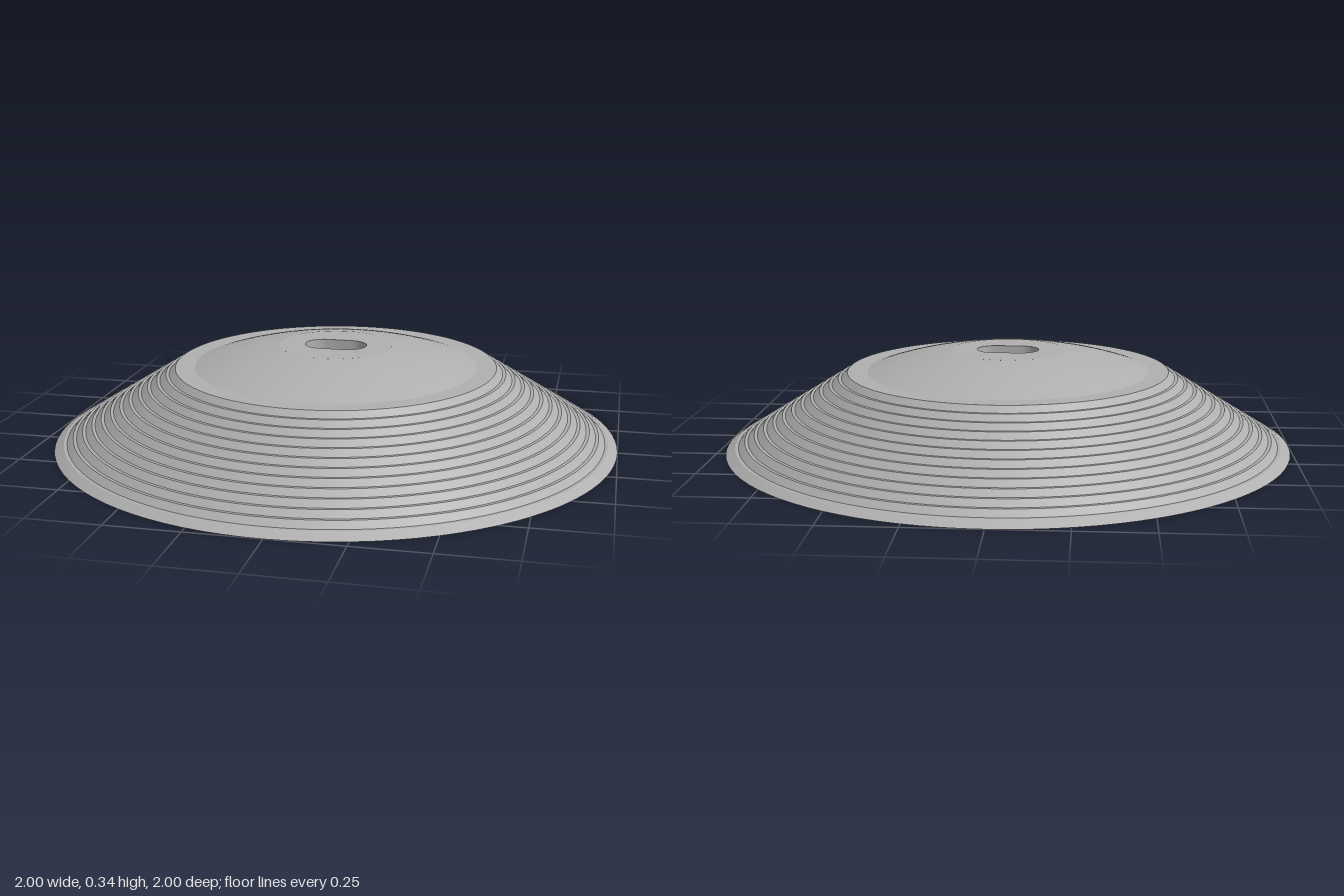
import * as THREE from 'three';
import { toCreasedNormals } from 'three/addons/utils/BufferGeometryUtils.js';

const SEG = 96, TOP = 0.335, CEILING = 0.3, CHANNEL_H = 0.125;
const HOLE_R = 0.175, HALF_W = 0.053, CHANNEL_END = 0.772, AXIS = THREE.MathUtils.degToRad(50);
const V = (x, y) => new THREE.Vector2(x, y);

// points along an arc in plan (x, z)
function arc(cx, cy, r, a0, a1, n) {
  return Array.from({ length: n + 1 }, (_, i) => {
    const a = a0 + (a1 - a0) * i / n;
    return V(cx + r * Math.cos(a), cy + r * Math.sin(a));
  });
}

// vertical wall following a plan line
function wallGeometry(line, y0, y1) {
  const pos = [], index = [];
  line.forEach((p, i) => {
    pos.push(p.x, y0, p.y, p.x, y1, p.y);
    if (i) { const k = 2 * i; index.push(k - 2, k - 1, k, k, k - 1, k + 1); }
  });
  const g = new THREE.BufferGeometry();
  g.setAttribute('position', new THREE.Float32BufferAttribute(pos, 3));
  g.setIndex(index);
  g.computeVertexNormals();
  return toCreasedNormals(g, 0.6);
}

// horizontal face looking down
function faceGeometry(shape, y) {
  return new THREE.ShapeGeometry(shape, SEG).rotateX(Math.PI / 2).translate(0, y, 0);
}

export function createModel() {
  const model = new THREE.Group();
  const grey = new THREE.MeshStandardMaterial({ color: 0xb0b0b0, side: THREE.DoubleSide });
  grey.name = 'grey';
  const add = (name, geometry) => {
    const mesh = new THREE.Mesh(geometry, grey);
    mesh.name = name;
    model.add(mesh);
  };

  // stepped skirt, then a spherical crown
  const profile = [V(1, 0)], steps = 13;
  for (let i = 1; i <= steps; i++) {
    const t = i / steps, r = 1 - 0.43 * t, y = 0.265 * t;
    profile.push(V(r, y), V(i < steps ? r - 0.011 : 0.5, y));
  }
  for (let i = 1; i <= 12; i++) {
    const r = 0.5 - 0.3 * i / 12;
    profile.push(V(r, Math.sqrt(2.396 - r * r) - 1.2));
  }
  add('steppedDome', toCreasedNormals(new THREE.LatheGeometry(profile, SEG), 0.3));

  // flat top with an oblong slot through it
  const top = new THREE.Shape(arc(0, 0, 0.2, 0, Math.PI * 2, SEG).slice(0, -1));
  top.holes.push(new THREE.Path([
    ...arc(0.045, 0, 0.065, -Math.PI / 2, Math.PI / 2, 16),
    ...arc(-0.045, 0, 0.065, Math.PI / 2, Math.PI * 1.5, 16),
  ]));
  const topGeometry = new THREE.ExtrudeGeometry(top, { depth: TOP - CEILING, bevelEnabled: false });
  topGeometry.rotateX(Math.PI / 2).translate(0, TOP, 0);
  add('slottedTop', toCreasedNormals(topGeometry, 0.5));

  // central bore opening into a straight channel
  const gap = Math.asin(HALF_W / HOLE_R);
  const bore = arc(0, 0, HOLE_R, AXIS + gap, AXIS - gap + Math.PI * 2, 64);
  const gapArc = arc(0, 0, HOLE_R, AXIS - gap, AXIS + gap, 10);
  const corner = s => V(CHANNEL_END, s * HALF_W).rotateAround(V(0, 0), AXIS);
  const channel = [bore[bore.length - 1], corner(-1), corner(1), bore[0]];
  add('boreWall', wallGeometry(bore, 0, CEILING));
  add('boreWallOverChannel', wallGeometry(gapArc, CHANNEL_H, CEILING));
  add('channelWall', wallGeometry(channel, 0, CHANNEL_H));
  add('channelCeiling', faceGeometry(
    new THREE.Shape([...gapArc, corner(1), corner(-1)]), CHANNEL_H));

  // underside with the keyhole opening and three screw holes
  const base = new THREE.Shape(arc(0, 0, 1, 0, Math.PI * 2, SEG).slice(0, -1));
  base.holes.push(new THREE.Path([...bore, corner(-1), corner(1)]));
  for (const degrees of [-10, 110, 230]) {
    const a = THREE.MathUtils.degToRad(degrees);
    const ring = arc(0.738 * Math.cos(a), 0.738 * Math.sin(a), 0.033, 0, Math.PI * 2, 24);
    const outline = ring.slice(0, -1);
    base.holes.push(new THREE.Path(outline));
    add('screwHoleWall', wallGeometry(ring, 0, 0.1));
    add('screwHoleEnd', faceGeometry(new THREE.Shape(outline), 0.1));
  }
  add('underside', faceGeometry(base, 0));

  return model;
}
